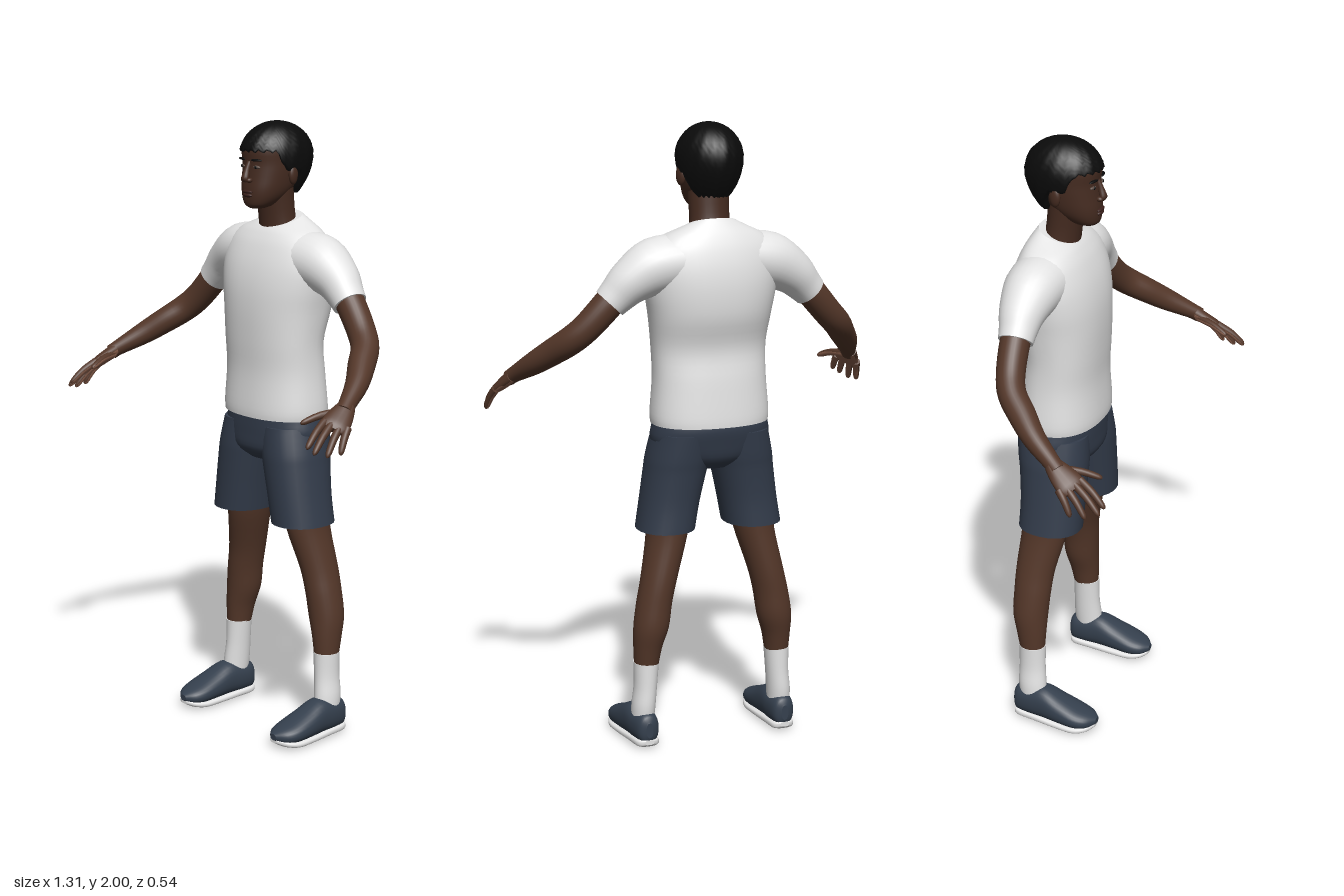
import * as THREE from 'three';

const V = (x, y, z) => new THREE.Vector3(x, y, z);
const material = (name, color) => {
  const m = new THREE.MeshStandardMaterial({ color });
  m.name = name;
  return m;
};
const step = THREE.MathUtils.smoothstep;

// Smoothly subdivides a list of section rows (Catmull-Rom on every column).
function resample(rows, sub) {
  const out = [];
  const at = (i) => rows[Math.min(Math.max(i, 0), rows.length - 1)];
  for (let i = 0; i < rows.length - 1; i++) {
    for (let k = 0; k < sub; k++) {
      const t = k / sub, t2 = t * t, t3 = t2 * t;
      out.push(rows[i].map((p1, c) => {
        const p0 = at(i - 1)[c], p2 = at(i + 1)[c], p3 = at(i + 2)[c];
        return 0.5 * (2 * p1 + (p2 - p0) * t + (2 * p0 - 5 * p1 + 4 * p2 - p3) * t2 + (3 * p1 - p0 - 3 * p2 + p3) * t3);
      }));
    }
  }
  out.push(rows[rows.length - 1]);
  return out;
}

// Lofts elliptical sections [x, y, z, a, b, tilt]; a lies along ref, tilt lowers the front edge.
// Faces pointing along "under" go to the second material group.
function loft(sections, { axis, ref = V(1, 0, 0), power = 2, segs = 28, sub = 4, under } = {}) {
  const rows = resample(sections, sub), pos = [], idx = [], n = rows.length;
  const c = rows.map((r) => V(r[0], r[1], r[2]));
  const bend = (f) => Math.sign(f) * Math.abs(f) ** (2 / power);
  rows.forEach((r, i) => {
    const w = axis ? axis.clone() : c[Math.min(i + 1, n - 1)].clone().sub(c[Math.max(i - 1, 0)]).normalize();
    const u = ref.clone().addScaledVector(w, -ref.dot(w)).normalize();
    const v = u.clone().cross(w);
    for (let j = 0; j < segs; j++) {
      const a = (j / segs) * Math.PI * 2, s = bend(Math.sin(a));
      const p = c[i].clone().addScaledVector(u, r[3] * bend(Math.cos(a))).addScaledVector(v, r[4] * s);
      pos.push(p.x, p.y - (r[5] || 0) * s, p.z);
    }
  });
  for (let i = 0; i < n - 1; i++) {
    for (let j = 0; j < segs; j++) {
      const k = (j + 1) % segs, a = i * segs + j, b = i * segs + k;
      idx.push([a, a + segs, b], [b, a + segs, b + segs]);
    }
  }
  // End caps with their own vertices, so the rims stay crisp
  [0, n - 1].forEach((row) => {
    const base = pos.length / 3;
    for (let q = 0; q < segs * 3; q++) pos.push(pos[row * segs * 3 + q]);
    pos.push(c[row].x, c[row].y, c[row].z);
    for (let j = 0; j < segs; j++) {
      const a = base + j, b = base + ((j + 1) % segs), m = base + segs;
      idx.push(row ? [a, m, b] : [a, b, m]);
    }
  });
  const geo = new THREE.BufferGeometry();
  geo.setAttribute('position', new THREE.Float32BufferAttribute(pos, 3));
  if (under) {
    const pt = (i) => V(pos[i * 3], pos[i * 3 + 1], pos[i * 3 + 2]);
    const low = (f) => {
      const o = pt(f[0]);
      return pt(f[1]).sub(o).cross(pt(f[2]).sub(o)).normalize().dot(under) > 0.35;
    };
    const top = idx.filter((f) => !low(f)), bottom = idx.filter(low);
    geo.setIndex([...top, ...bottom].flat());
    geo.addGroup(0, top.length * 3, 0);
    geo.addGroup(top.length * 3, bottom.length * 3, 1);
  } else geo.setIndex(idx.flat());
  geo.computeVertexNormals();
  return geo;
}

// Short cropped hair: rows run from the crown to a hairline that varies around the head.
function hairGeometry() {
  const segs = 72, rows = 22, pos = [], idx = [];
  for (let i = 0; i <= rows + 1; i++) {
    for (let j = 0; j < segs; j++) {
      const a = (j / segs) * Math.PI * 2, s = Math.sin(a);
      const edge = 1.775 + 0.075 * step(s, -0.5, -0.1) + 0.06 * step(s, 0.25, 0.6) + 0.005 * Math.sin(j * 2.1);
      const t = 1 - Math.cos((Math.min(i / rows, 1) * Math.PI) / 2);
      const y = 1.998 - (1.998 - edge) * t;
      let f = y > 1.89 ? Math.sqrt(Math.max(0, 1 - ((y - 1.89) / 0.108) ** 2)) : 1 - 0.4 * ((1.89 - y) / 0.12) ** 2;
      f *= 1 + 0.018 * Math.sin(j * 2.3 + i * 1.7) * Math.sin(i * 2.1 + j * 0.9);
      if (i > rows) f *= 0.7;
      pos.push(0.103 * f * Math.cos(a), y, -0.122 + 0.127 * f * s);
      if (i <= rows) {
        const p = i * segs + j, q = i * segs + ((j + 1) % segs);
        idx.push(p, q, p + segs, q, q + segs, p + segs);
      }
    }
  }
  const geo = new THREE.BufferGeometry();
  geo.setAttribute('position', new THREE.Float32BufferAttribute(pos, 3));
  geo.setIndex(idx);
  geo.computeVertexNormals();
  return geo;
}

export function createModel() {
  const skin = material('skin', 0x543729), face = material('faceSkin', 0x462c21);
  const palmSkin = material('palmSkin', 0x8a5f4c), lip = material('lips', 0x3a201b);
  const hair = material('hair', 0x0b0b0b), eye = material('eye', 0x5c4c44);
  const cotton = material('whiteCotton', 0xe4e4e4), navy = material('navyShorts', 0x333c4b);
  const shoeBlue = material('shoeBlue', 0x35404e);

  const model = new THREE.Group();
  model.name = 'standingMan';
  const add = (name, geo, mat) => {
    const mesh = new THREE.Mesh(geo, mat);
    mesh.name = name;
    model.add(mesh);
    return mesh;
  };
  const blob = (name, mat, p, size, turn = 0) => {
    const mesh = add(name, new THREE.SphereGeometry(1, 20, 14), mat);
    mesh.position.set(...p);
    mesh.scale.set(...size);
    mesh.rotation.y = turn;
  };
  const up = V(0, 1, 0);

  // Shirt body, ending in a collar that dips at the front
  add('shirt', loft([
    [0, 1.055, -0.125, 0.19, 0.133, 0], [0, 1.09, -0.124, 0.192, 0.133, 0], [0, 1.2, -0.122, 0.184, 0.125, 0],
    [0, 1.3, -0.115, 0.186, 0.122, 0], [0, 1.4, -0.127, 0.198, 0.136, 0], [0, 1.48, -0.133, 0.212, 0.137, 0],
    [0, 1.55, -0.138, 0.218, 0.127, 0], [0, 1.61, -0.143, 0.205, 0.108, 0], [0, 1.65, -0.145, 0.165, 0.088, 0.005],
    [0, 1.675, -0.143, 0.11, 0.071, 0.013], [0, 1.688, -0.14, 0.076, 0.06, 0.02],
  ], { axis: up, power: 2.3, segs: 48 }), cotton);

  // Neck and head
  add('neck', loft([
    [0, 1.62, -0.14, 0.074, 0.062], [0, 1.7, -0.125, 0.064, 0.056], [0, 1.79, -0.112, 0.067, 0.06],
  ], { axis: up }), face);
  add('head', loft([
    [0, 1.727, -0.045, 0.022, 0.025], [0, 1.737, -0.052, 0.043, 0.045], [0, 1.76, -0.068, 0.061, 0.066],
    [0, 1.79, -0.086, 0.073, 0.085], [0, 1.83, -0.1, 0.08, 0.095], [0, 1.87, -0.11, 0.084, 0.103],
    [0, 1.92, -0.115, 0.086, 0.111], [0, 1.96, -0.12, 0.07, 0.09], [0, 1.98, -0.12, 0.03, 0.04],
  ], { axis: up, power: 2.2, segs: 40 }), face);
  add('nose', loft([
    [0, 1.878, -0.012, 0.008, 0.008], [0, 1.85, -0.001, 0.009, 0.01], [0, 1.825, 0.007, 0.014, 0.012],
    [0, 1.812, 0.004, 0.012, 0.008],
  ], { axis: V(0, -1, 0), segs: 16 }), face);
  blob('upperLip', lip, [0, 1.781, -0.002], [0.024, 0.006, 0.009]);
  blob('lowerLip', lip, [0, 1.77, -0.004], [0.021, 0.007, 0.01]);
  add('hair', hairGeometry(), hair);

  // Shorts seat
  add('shortsSeat', loft([
    [0, 0.91, -0.115, 0.07, 0.075], [0, 0.945, -0.118, 0.15, 0.112], [0, 1.0, -0.125, 0.192, 0.122],
    [0, 1.05, -0.13, 0.188, 0.126], [0, 1.09, -0.126, 0.176, 0.12],
  ], { axis: up, power: 2.3, segs: 40 }), navy);

  for (const s of [1, -1]) {
    const side = s > 0 ? 'left' : 'right';
    const flip = (rows) => rows.map(([x, ...rest]) => [x * s, ...rest]);
    const limb = (name, rows, mat, opts) => add(side + name, loft(flip(rows), opts), mat);

    // Face details
    blob(side + 'Ear', face, [s * 0.091, 1.835, -0.115], [0.012, 0.032, 0.02], s * 0.3);
    blob(side + 'Nostril', face, [s * 0.013, 1.818, 0], [0.009, 0.008, 0.011]);
    blob(side + 'Eye', eye, [s * 0.033, 1.86, -0.013], [0.014, 0.005, 0.006], s * 0.25);
    blob(side + 'Pupil', hair, [s * 0.033, 1.86, -0.0085], [0.005, 0.005, 0.003]);
    blob(side + 'Eyebrow', hair, [s * 0.035, 1.882, -0.01], [0.021, 0.004, 0.006], s * 0.28);

    // Sleeve and arm
    limb('Sleeve', [
      [0.09, 1.575, -0.145, 0.1, 0.085], [0.19, 1.56, -0.148, 0.092, 0.09], [0.265, 1.52, -0.148, 0.074, 0.073],
      [0.31, 1.478, -0.143, 0.06, 0.06], [0.335, 1.452, -0.14, 0.055, 0.054],
    ], cotton, { ref: V(0, 0, 1) });
    limb('Arm', [
      [0.27, 1.53, -0.145, 0.048, 0.048], [0.34, 1.45, -0.14, 0.047, 0.048], [0.405, 1.378, -0.125, 0.045, 0.046],
      [0.45, 1.335, -0.1, 0.044, 0.045], [0.49, 1.295, -0.05, 0.043, 0.042], [0.535, 1.25, 0.01, 0.036, 0.037],
      [0.575, 1.205, 0.085, 0.027, 0.026], [0.588, 1.188, 0.11, 0.027, 0.024],
    ], skin, { ref: V(0, 0, 1) });

    // Hand with a paler palm side
    const hand = { ref: V(0.055 * s, -0.02, -0.06), under: V(-0.58 * s, -0.76, -0.29), segs: 16 };
    const both = [skin, palmSkin];
    limb('Palm', [
      [0.58, 1.2, 0.09, 0.027, 0.023], [0.592, 1.178, 0.125, 0.039, 0.02], [0.603, 1.157, 0.158, 0.044, 0.017],
      [0.608, 1.146, 0.174, 0.034, 0.011],
    ], both, hand);
    [
      ['Index', 0.58, 1.167, 0.18, 0.602, 1.1, 0.268], ['Middle', 0.598, 1.16, 0.168, 0.624, 1.085, 0.26],
      ['Ring', 0.615, 1.153, 0.15, 0.64, 1.074, 0.222], ['Little', 0.629, 1.148, 0.132, 0.65, 1.077, 0.178],
      ['Thumb', 0.572, 1.185, 0.112, 0.53, 1.158, 0.23],
    ].forEach(([name, x, y, z, X, Y, Z]) => {
      const at = (t, r) => [x + (X - x) * t, y + (Y - y) * t + 0.03 * t * (1 - t), z + (Z - z) * t, r, r];
      limb(name + 'Finger', [at(0, 0.013), at(0.5, 0.0115), at(0.9, 0.009), at(1, 0.003)], both,
        { ...hand, segs: 12, sub: 3 });
    });

    // Shorts leg, bare leg and sock
    const down = { axis: V(0, -1, 0) };
    limb('ShortsLeg', [
      [0.092, 1.03, -0.128, 0.094, 0.118], [0.105, 0.95, -0.12, 0.1, 0.116], [0.114, 0.9, -0.116, 0.098, 0.112],
      [0.132, 0.8, -0.113, 0.094, 0.106], [0.147, 0.712, -0.115, 0.093, 0.105],
    ], navy, { ...down, power: 2.2 });
    limb('Leg', [
      [0.14, 0.78, -0.13, 0.072, 0.082], [0.15, 0.69, -0.136, 0.065, 0.077], [0.182, 0.56, -0.155, 0.058, 0.066],
      [0.2, 0.48, -0.16, 0.057, 0.062], [0.212, 0.4, -0.163, 0.057, 0.059], [0.222, 0.33, -0.157, 0.046, 0.05],
      [0.226, 0.26, -0.152, 0.038, 0.041],
    ], skin, down);
    limb('Sock', [
      [0.226, 0.28, -0.152, 0.041, 0.045], [0.229, 0.2, -0.152, 0.037, 0.045], [0.235, 0.135, -0.15, 0.038, 0.048],
      [0.237, 0.08, -0.145, 0.036, 0.046],
    ], cotton, down);

    // Slip-on shoe and its pale sole
    const along = { axis: V(0, 0, 1), power: 2.3 };
    limb('Shoe', [
      [0.235, 0.065, -0.214, 0.012, 0.025], [0.235, 0.066, -0.2, 0.034, 0.048], [0.237, 0.069, -0.15, 0.045, 0.054],
      [0.239, 0.073, -0.1, 0.05, 0.058], [0.241, 0.06, -0.04, 0.056, 0.046], [0.241, 0.047, 0.02, 0.057, 0.034],
      [0.239, 0.042, 0.06, 0.043, 0.024], [0.236, 0.042, 0.085, 0.014, 0.01],
    ], shoeBlue, along);
    limb('Sole', [
      [0.235, 0.024, -0.212, 0.015, 0.008], [0.235, 0.02, -0.195, 0.037, 0.014], [0.237, 0.018, -0.13, 0.045, 0.014],
      [0.24, 0.015, -0.04, 0.054, 0.013], [0.241, 0.015, 0.02, 0.057, 0.013], [0.239, 0.021, 0.06, 0.043, 0.011],
      [0.236, 0.028, 0.082, 0.015, 0.007],
    ], cotton, { ...along, power: 3 });
  }
  return model;
}
